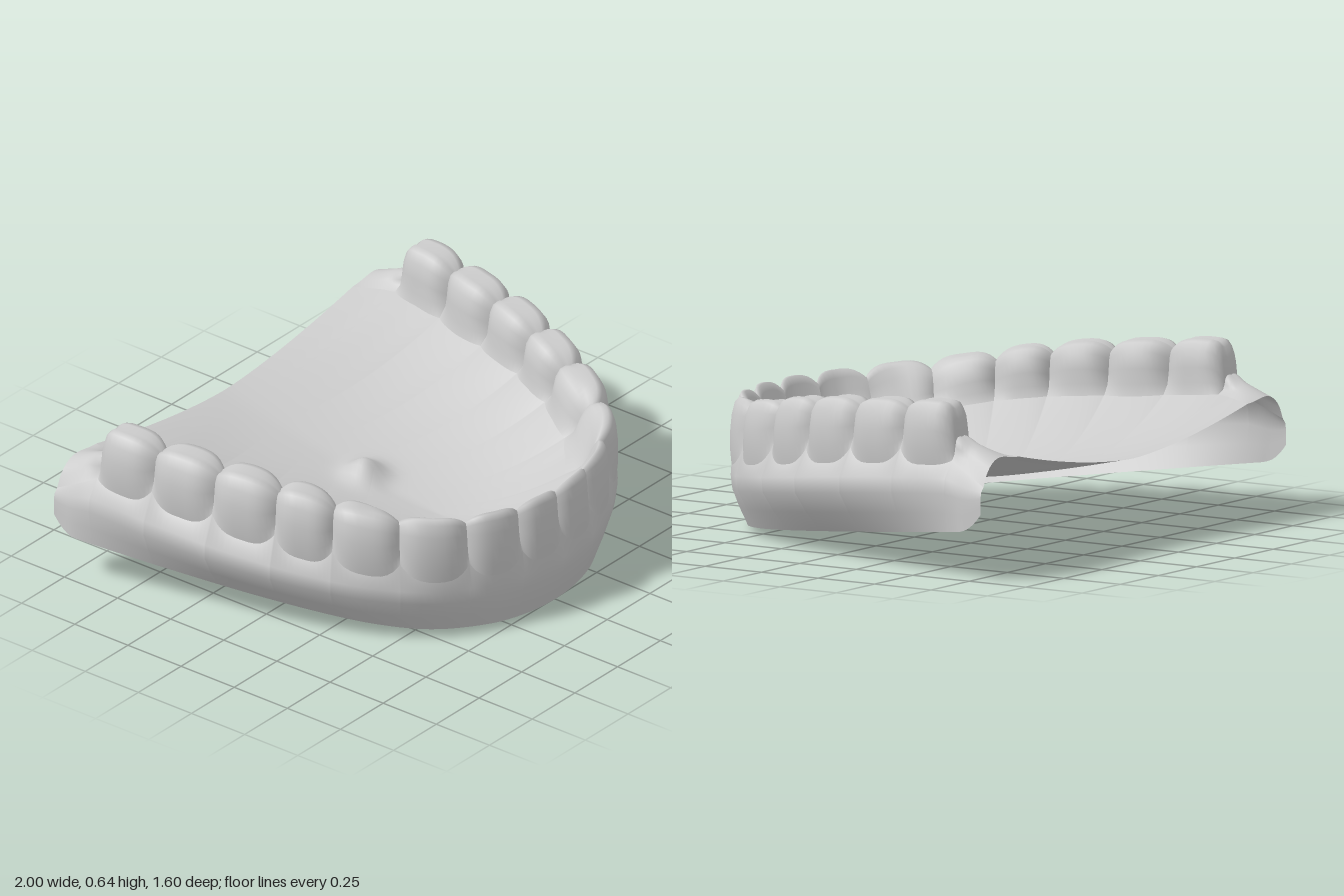
import * as THREE from 'three';
import { mergeVertices } from 'three/addons/utils/BufferGeometryUtils.js';

const material = new THREE.MeshStandardMaterial({ color: 0xcccccc, side: THREE.DoubleSide });
const { lerp, clamp, smoothstep } = THREE.MathUtils;

// Half of the arch outline as [x, z], from the front middle to the back corner
const OUTLINE = [[0, 0.8], [0.2, 0.775], [0.4, 0.7], [0.56, 0.6], [0.7, 0.45], [0.8, 0.29],
  [0.885, 0.1], [0.945, -0.1], [0.985, -0.35], [1, -0.6], [1, -0.8]];
const HALF_LENGTH = 2.118;
const arch = new THREE.CatmullRomCurve3(
  [...OUTLINE.slice(1).reverse().map(([x, z]) => [-x, z]), ...OUTLINE]
    .map(([x, z]) => new THREE.Vector3(x, 0, z)));

// Where each tooth starts, measured round the arch from the middle; the last span is bare ridge
const BOUNDS = [0, 0.205, 0.43, 0.7, 0.96, 1.19, 1.45, 1.71, 1.955, HALF_LENGTH];
const NAMES = ['centralIncisor', 'lateralIncisor', 'canine', 'firstPremolar', 'secondPremolar',
  'firstMolar', 'secondMolar', 'thirdMolar', 'backRidge'];
const RIDGE = 8;

// Measures that change along the arch
const KEYS = [0, 0.32, 0.565, 0.83, 1.075, 1.32, 1.58, 1.83, 1.955, HALF_LENGTH];
const TOP = [0.485, 0.487, 0.5, 0.53, 0.572, 0.602, 0.622, 0.642, 0.642, 0.642];
const OUTER_GUM = [0.235, 0.235, 0.25, 0.285, 0.32, 0.355, 0.385, 0.405, 0.41, 0.35];
const INNER_GUM = [0.3, 0.3, 0.32, 0.36, 0.39, 0.41, 0.42, 0.44, 0.45, 0.435];
const OUTER_INSET = [0, 0, 0, 0.012, 0.032, 0.042, 0.042, 0.03, 0.03, 0.02];
const INNER_INSET = [0.17, 0.17, 0.18, 0.2, 0.22, 0.235, 0.235, 0.21, 0.21, 0.25];
const BROADNESS = [0, 0, 0.4, 0.85, 1, 1, 1, 1, 1, 1];

function measure(table, s) {
  let i = 0;
  while (i < KEYS.length - 2 && s > KEYS[i + 1]) i++;
  return lerp(table[i], table[i + 1], clamp((s - KEYS[i]) / (KEYS[i + 1] - KEYS[i]), 0, 1));
}

// Crown profiles from outer to inner gum line: [fraction across, fraction of height]
const BLADE = [[0, 0], [-0.02, 0.2], [-0.02, 0.45], [0, 0.7], [0.03, 0.9], [0.09, 1], [0.18, 1],
  [0.26, 0.88], [0.36, 0.65], [0.5, 0.42], [0.68, 0.24], [0.87, 0.1], [1.08, -0.04]];
const MOLAR = [[0.05, 0], [0, 0.25], [0, 0.55], [0.06, 0.82], [0.19, 0.97], [0.34, 1], [0.5, 0.96],
  [0.66, 1], [0.82, 0.96], [0.94, 0.8], [1, 0.5], [1.01, 0.22], [1.07, 0]];
const DOME = BLADE.map((_, i) => [i / 12, Math.pow(Math.sin(Math.PI * i / 12), 0.7)]);

// One cross-section of the arch at w (-1 to 1) within a tooth span
function section(side, k, w) {
  const s = lerp(BOUNDS[k], BOUNDS[k + 1], (w + 1) / 2);
  const u = (1 + side * s / HALF_LENGTH) / 2;
  const p = arch.getPointAt(u), t = arch.getTangentAt(u);
  const atEnd = k === RIDGE && w === 1;
  const inward = atEnd ? new THREE.Vector3(-side, 0, 0) : new THREE.Vector3(t.z, 0, -t.x);
  if (atEnd) p.z = -0.8;
  const place = ([d, y]) => p.clone().addScaledVector(inward, d).setY(y);

  // Narrowing and lowering toward the gaps between teeth
  const onRidge = k === RIDGE, distal = k === RIDGE - 1 && w > 0;
  const gap = onRidge ? (1 - w) / 2 : Math.pow(Math.abs(w), 3.2);
  const top = onRidge ? lerp(0.515, 0.448, (w + 1) / 2)
    : measure(TOP, s) - (distal ? 0.127 * Math.pow(w, 7) : 0.04 * gap);
  const gumLine = measure(OUTER_GUM, s);
  const outerGum = gumLine + (onRidge || distal ? 0.02 : 0.06) * gap;
  const innerGum = measure(INNER_GUM, s);
  const dOut = measure(OUTER_INSET, s), dIn = measure(INNER_INSET, s), broad = measure(BROADNESS, s);
  const domed = onRidge ? smoothstep(w, -1, -0.2) : 0;

  // Crown
  const crown = BLADE.map(([bf, bh], i) => {
    const f = lerp(lerp(bf, MOLAR[i][0], broad), DOME[i][0], domed);
    const h = lerp(lerp(bh, MOLAR[i][1], broad), DOME[i][1], domed);
    const pinch = lerp(0.036, 0.046, broad) * gap * clamp(1 - 2 * f, -1, 1) * smoothstep(h, -0.3, 0.4);
    return [lerp(dOut, dIn, f) + pinch, lerp(lerp(outerGum, innerGum, clamp(f, 0, 1)), top, h)];
  });

  // Outer gum wall, from the rim up to the tooth
  const back = clamp((0.75 - p.z) / 1.47, 0, 1);
  const rimInset = 0.045 * (1 - back) + 0.1 * Math.sin(Math.PI * back);
  const rim = 0.18 * clamp((0.75 - place([rimInset, 0]).z) / 1.47, 0, 1)
    + 0.07 * Math.pow(clamp((-p.z - 0.7) / 0.1, 0, 1), 2);
  const wall = [[rimInset, rim], [rimInset * 0.5, lerp(rim, gumLine, 0.3)],
    [rimInset * 0.1, lerp(rim, gumLine, 0.6)], [dOut * 0.25, lerp(rim, gumLine, 0.83)], crown[0]];

  // Floor, falling to the middle line, with a small peak
  const edge = place(crown[crown.length - 1]);
  const along = (p.z + 0.8) / 1.6;
  const middle = new THREE.Vector3(0, 0.165 + 0.165 * Math.pow(1 - along, 1.4), -0.8 + along);
  const power = lerp(1.6, 2.3, smoothstep(along, 0, 0.35));
  const floor = [];
  for (let i = 0; i <= 20; i++) {
    const r = 1 - i / 20;
    const v = middle.clone().lerp(edge, r);
    v.y = lerp(middle.y, edge.y, Math.pow(r, power));
    v.y += 0.07 * Math.exp(-(v.x * v.x + (v.z + 0.14) ** 2) / 0.0045);
    floor.push(v);
  }
  return { wall: wall.map(place), crown: crown.map(place), floor };
}

// Surface through rows of points
function skin(name, rows) {
  const columns = rows[0].length, index = [];
  for (let i = 0; i < rows.length - 1; i++) {
    for (let j = 0; j < columns - 1; j++) {
      const a = i * columns + j, b = a + columns;
      index.push(a, b, a + 1, b, b + 1, a + 1);
    }
  }
  const geometry = new THREE.BufferGeometry().setFromPoints(rows.flat());
  geometry.setIndex(index);
  const merged = mergeVertices(geometry, 1e-4);
  merged.computeVertexNormals();
  const mesh = new THREE.Mesh(merged, material);
  mesh.name = name;
  return mesh;
}

export function createModel() {
  const model = new THREE.Group();
  model.name = 'dentalArch';
  const teeth = new THREE.Group();
  teeth.name = 'teeth';

  // Spans run from the right back corner round the front to the left back corner
  const order = NAMES.map((_, k) => k);
  const spans = [...order.slice().reverse().map(k => [-1, k]), ...order.map(k => [1, k])];
  const steps = 14;
  const all = [];
  for (const [side, k] of spans) {
    const rows = [];
    for (let i = 0; i <= steps; i++) {
      // Rows gather near the gaps
      const w = i === 0 ? -1 : i === steps ? 1 : Math.sin((i / steps - 0.5) * Math.PI);
      rows.push(section(side, k, side * w));
    }
    teeth.add(skin((side > 0 ? 'left ' : 'right ') + NAMES[k], rows.map(r => r.crown)));
    all.push(...(all.length ? rows.slice(1) : rows));
  }
  model.add(teeth, skin('gumWall', all.map(r => r.wall)), skin('floor', all.map(r => r.floor)));
  return model;
}
